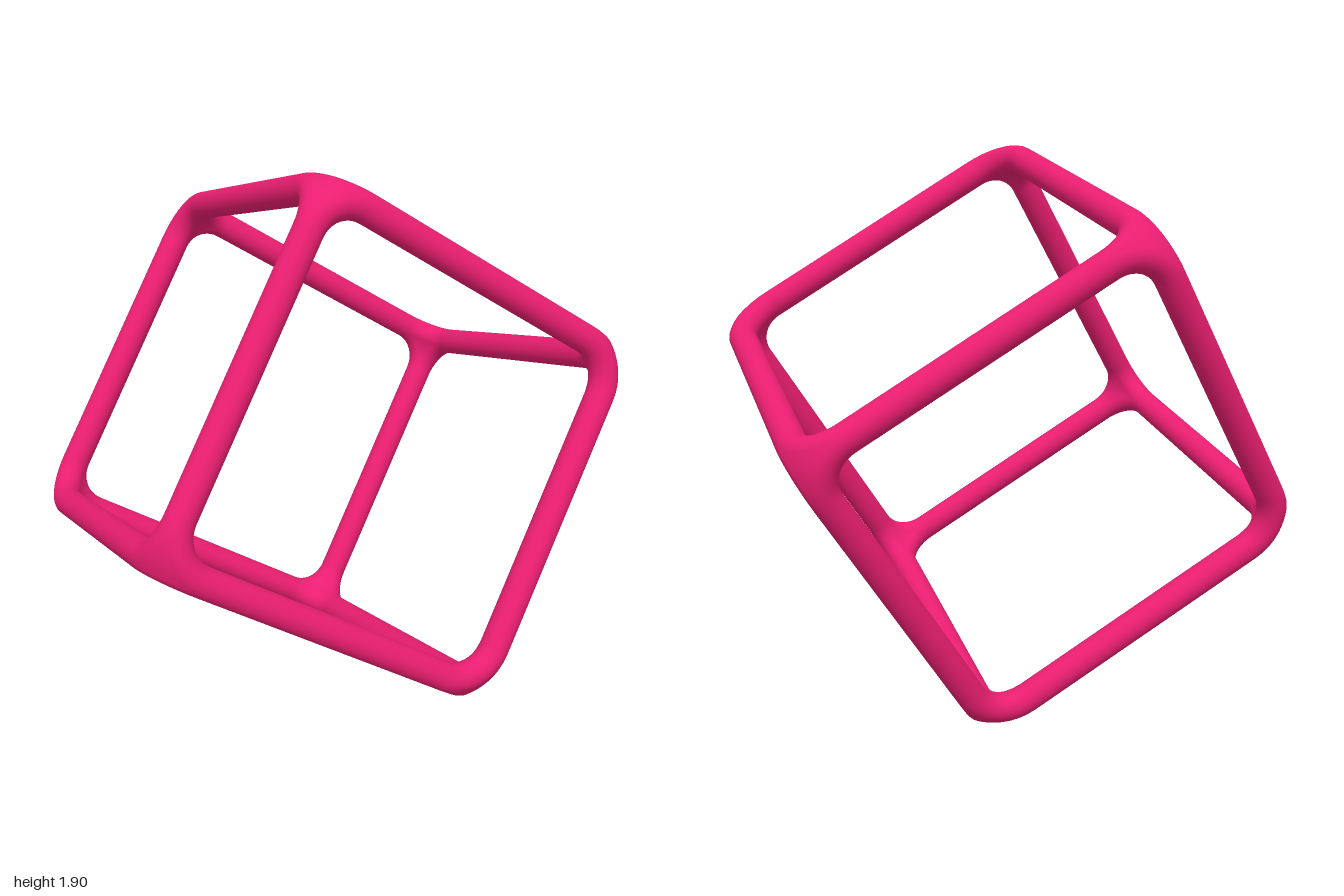
import * as THREE from 'three';

const HALF = 0.59;   // half the cube edge, measured on the rod axes
const ROD = 0.048;   // rod radius
const BEND = 0.145;  // bend radius of the rod axis at the corners

// Curved triangular skin closing the gap between the three bends of a corner.
// side = 1 gives the outer skin, side = -1 the inner one.
function cornerSkin(side) {
  const arcSteps = 8, rings = 5, count = arcSteps * 3;
  const radius = Math.SQRT2 * BEND + side * ROD;
  const centre = new THREE.Vector3().setScalar(HALF - BEND);
  const middle = new THREE.Vector3(1, 1, 1).normalize();
  const pos = [], nor = [], index = [];
  for (let i = 0; i <= count; i++) {
    const arc = Math.floor(i / arcSteps) % 3;
    const t = (i % arcSteps) / arcSteps * Math.PI / 2;
    const p = [Math.cos(t), Math.sin(t), 1];
    const rim = new THREE.Vector3(p[arc], p[(arc + 1) % 3], p[(arc + 2) % 3]).normalize();
    for (let j = 0; j <= rings; j++) {
      const dir = middle.clone().lerp(rim, j / rings).normalize();
      pos.push(...dir.clone().multiplyScalar(radius).add(centre).toArray());
      nor.push(...dir.multiplyScalar(side).toArray());
    }
  }
  const row = rings + 1;
  for (let i = 0; i < count; i++) {
    for (let j = 0; j < rings; j++) {
      const a = i * row + j, b = a + 1, c = a + row, d = c + 1;
      if (side > 0) index.push(a, d, b, a, c, d);
      else index.push(a, b, d, a, d, c);
    }
  }
  const g = new THREE.BufferGeometry();
  g.setAttribute('position', new THREE.Float32BufferAttribute(pos, 3));
  g.setAttribute('normal', new THREE.Float32BufferAttribute(nor, 3));
  g.setIndex(index);
  return g;
}

export function createModel() {
  const model = new THREE.Group();
  model.name = 'cubeFrame';
  const material = new THREE.MeshStandardMaterial({ color: 0xe91e70 });

  const add = (parent, geometry, name) => {
    const mesh = new THREE.Mesh(geometry, material);
    mesh.name = name;
    parent.add(mesh);
    return mesh;
  };

  // Tilted frame that carries all rods and corners
  const frame = new THREE.Group();
  frame.name = 'tiltedFrame';
  const a = new THREE.Vector3(0.285, 0.813, -0.5).normalize();
  const b = new THREE.Vector3(0.72, -0.53, -0.445);
  b.addScaledVector(a, -a.dot(b)).normalize();
  const c = a.clone().cross(b);
  frame.quaternion.setFromRotationMatrix(new THREE.Matrix4().makeBasis(a, b, c));
  frame.position.y = 0.951;
  model.add(frame);

  // Twelve straight rods, four along each axis
  const rod = new THREE.CylinderGeometry(ROD, ROD, 2 * (HALF - BEND), 24, 1, true);
  for (const axis of ['x', 'y', 'z']) {
    for (const s of [-1, 1]) {
      for (const t of [-1, 1]) {
        const mesh = add(frame, rod, 'rod');
        const [u, v] = ['x', 'y', 'z'].filter((k) => k !== axis);
        mesh.position[u] = s * HALF;
        mesh.position[v] = t * HALF;
        if (axis === 'x') mesh.rotation.z = Math.PI / 2;
        if (axis === 'z') mesh.rotation.x = Math.PI / 2;
      }
    }
  }

  // Corner pieces: three quarter bends plus outer and inner skins
  const bend = new THREE.TorusGeometry(BEND, ROD, 24, 10, Math.PI / 2);
  bend.translate(HALF - BEND, HALF - BEND, HALF);
  const outer = cornerSkin(1), inner = cornerSkin(-1);
  const diagonal = new THREE.Vector3(1, 1, 1).normalize();
  for (let k = 0; k < 8; k++) {
    const corner = new THREE.Group();
    corner.name = 'corner';
    corner.rotation.set(k < 4 ? 0 : Math.PI, (k % 4) * Math.PI / 2, 0);
    for (let n = 0; n < 3; n++) {
      add(corner, bend, 'cornerBend').quaternion.setFromAxisAngle(diagonal, n * 2 * Math.PI / 3);
    }
    add(corner, outer, 'cornerOuterSkin');
    add(corner, inner, 'cornerInnerSkin');
    frame.add(corner);
  }
  return model;
}
